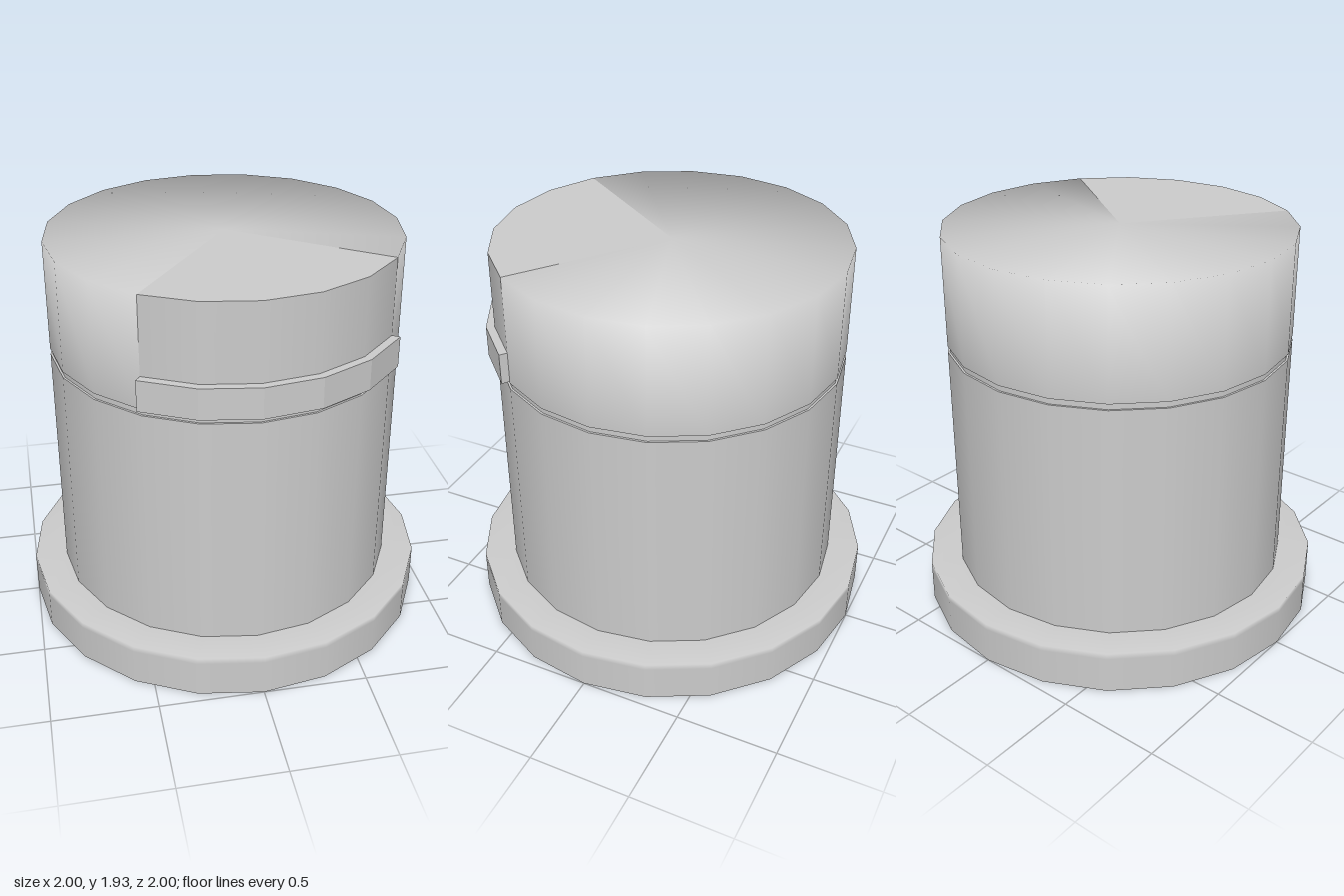
import * as THREE from 'three';
import { mergeGeometries } from 'three/addons/utils/BufferGeometryUtils.js';

const SIDES = 20;
const STEP = (Math.PI * 2) / SIDES;
// The flat notch sector covers five sides, measured from +z towards +x
const NOTCH_START = -2 * STEP, NOTCH_SIDES = 5;

const material = new THREE.MeshStandardMaterial({ color: 0xcccccc });

// Smooth surface of revolution; profile runs from bottom to top
function turn(profile, start = 0, sides = SIDES) {
  const points = profile.map(([r, y]) => new THREE.Vector2(r, y));
  return new THREE.LatheGeometry(points, sides, start, sides * STEP);
}

// Several turned sections joined with hard edges between them
function turned(name, sections) {
  return new THREE.Mesh(mergeGeometries(sections.map((s) => turn(s))), material);
}

function named(mesh, name) {
  mesh.name = name;
  return mesh;
}

export function createModel() {
  const model = new THREE.Group();
  model.name = 'cappedCylinder';

  // Base flange with a shallow recess underneath and a softened top rim
  model.add(named(turned('baseFlange', [
    [[0, 0.085], [0.91, 0.085]],
    [[0.91, 0.085], [0.91, 0]],
    [[0.91, 0], [1, 0]],
    [[1, 0], [1, 0.18], [1, 0.21], [0.83, 0.21]],
  ]), 'baseFlange'));

  // Main body
  model.add(named(turned('body', [
    [[0.84, 0.21], [0.84, 1.37]],
    [[0.84, 1.37], [0.83, 1.37]],
  ]), 'body'));

  // Narrow groove between body and head
  model.add(named(turned('groove', [
    [[0.83, 1.37], [0.83, 1.4]],
    [[0.83, 1.4], [0.84, 1.4]],
  ]), 'groove'));

  // Head: wall and top share soft normals around the back three quarters
  const soft = turn([[0.84, 1.4], [0.84, 1.935], [0, 1.935]],
    NOTCH_START + NOTCH_SIDES * STEP, SIDES - NOTCH_SIDES);
  soft.computeVertexNormals();
  model.add(named(new THREE.Mesh(soft, material), 'softHead'));

  // Head: crisp front sector
  const crisp = mergeGeometries([
    turn([[0.84, 1.4], [0.84, 1.935]], NOTCH_START, NOTCH_SIDES),
    turn([[0.84, 1.935], [0, 1.935]], NOTCH_START, NOTCH_SIDES),
  ]);
  model.add(named(new THREE.Mesh(crisp, material), 'frontSector'));

  // Raised strip across the front sector
  const outline = [];
  for (let i = 0; i <= NOTCH_SIDES; i++) {
    const a = NOTCH_START + i * STEP;
    const at = (r) => new THREE.Vector2(r * Math.sin(a), -r * Math.cos(a));
    outline.push(at(0.88));
    outline.unshift(at(0.835));
  }
  const strip = new THREE.ExtrudeGeometry(new THREE.Shape(outline), { depth: 0.15, bevelEnabled: false });
  strip.rotateX(-Math.PI / 2).translate(0, 1.41, 0);
  model.add(named(new THREE.Mesh(strip, material), 'frontStrip'));

  return model;
}
